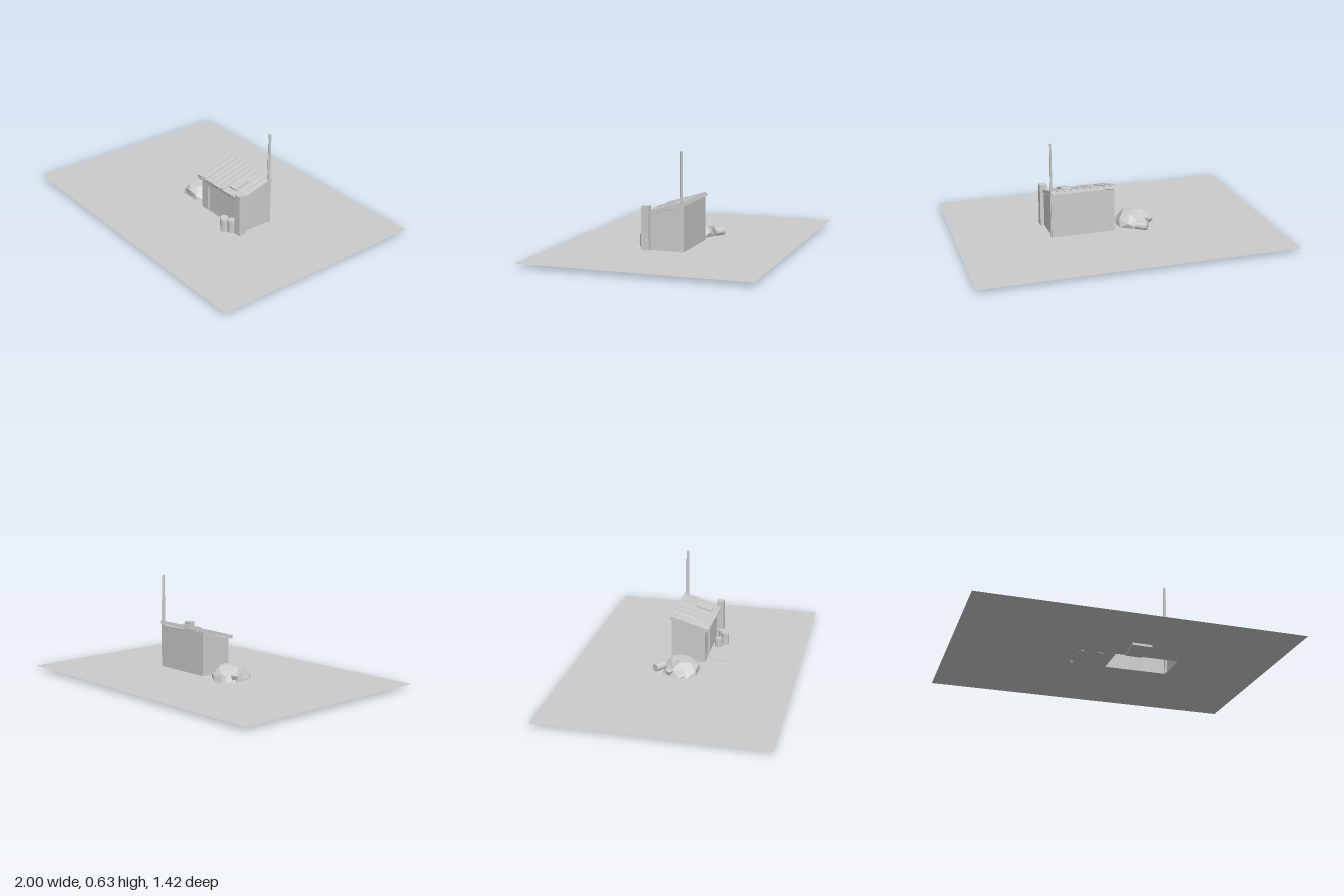
import * as THREE from 'three';

const grey = new THREE.MeshStandardMaterial({ color: 0xcccccc, flatShading: true, side: THREE.DoubleSide });

function rng(seed) {
  return () => (seed = (seed * 16807) % 2147483647) / 2147483647;
}

function add(parent, name, geometry, x = 0, y = 0, z = 0) {
  const mesh = new THREE.Mesh(geometry, grey);
  mesh.name = name;
  mesh.position.set(x, y, z);
  parent.add(mesh);
  return mesh;
}

function outline(points) {
  return new THREE.Shape(points.map(([x, y]) => new THREE.Vector2(x, y)));
}

// Flat polygon in the XY plane of a wall
const panel = (points) => new THREE.ShapeGeometry(outline(points));

const X0 = 0.005, X1 = 0.41, Z0 = -0.112, Z1 = 0.108, BASE = 0.035;

function makeGround() {
  const shape = outline([[-1, -0.71], [1, -0.71], [1, 0.71], [-1, 0.71]]);
  shape.holes.push(outline([[X0, -Z1], [X0, -Z0], [X1, -Z0], [X1, -Z1]]));
  const geo = new THREE.ShapeGeometry(shape).rotateX(-Math.PI / 2);
  // Slight rise towards the hut
  const p = geo.attributes.position;
  for (let i = 0; i < p.count; i++) p.setY(i, Math.abs(p.getX(i)) > 0.9 ? 0.03 : BASE);
  geo.computeVertexNormals();
  return geo;
}

function makeWalls(hut) {
  const front = 0.25, back = 0.312;
  const door = [[0.06, BASE], [0.064, 0.2], [0.165, 0.2], [0.168, BASE]];
  // Front wall wraps around the doorway
  add(hut, 'frontWall', panel([[X0, BASE], ...door, [X1, BASE], [X1, front], [X0, front]]), 0, 0, Z1);
  // Recessed door and its frame
  const depth = 0.015;
  add(hut, 'door', panel(door), 0, 0, Z1 - depth);
  for (let i = 0; i < 3; i++) {
    const [a, b] = [door[i], door[i + 1]];
    const len = Math.hypot(b[0] - a[0], b[1] - a[1]);
    const jamb = add(hut, 'doorJamb', new THREE.PlaneGeometry(len, depth).rotateX(-Math.PI / 2),
      (a[0] + b[0]) / 2, (a[1] + b[1]) / 2, Z1 - depth / 2);
    jamb.rotation.z = Math.atan2(b[1] - a[1], b[0] - a[0]);
  }
  add(hut, 'backWall', panel([[X1, BASE], [X0, BASE], [X0, back], [X1, back]]).rotateY(Math.PI)
    .translate(X0 + X1, 0, 0), 0, 0, Z0);
  // Sloping side walls
  for (const x of [X0, X1]) {
    const side = panel([[-Z1, BASE], [-Z0, BASE], [-Z0, back], [-Z1, front]]);
    side.rotateY(Math.PI / 2);
    if (x === X0) side.setIndex(Array.from(side.index.array).reverse());
    side.computeVertexNormals();
    add(hut, 'sideWall', side, x, 0, 0);
  }
}

function makeRoof(hut) {
  const roof = new THREE.Group();
  roof.name = 'roof';
  roof.position.set(0.203, 0.289, 0.005);
  roof.rotation.x = 0.285;
  hut.add(roof);
  add(roof, 'roofSheet', new THREE.BoxGeometry(0.42, 0.012, 0.265));
  // Uneven planks with narrow gaps
  const rand = rng(37);
  const count = 10, step = 0.43 / count;
  for (let i = 0; i < count; i++) {
    const len = 0.255 + rand() * 0.015;
    const plank = add(roof, 'roofPlank', new THREE.BoxGeometry(step - 0.004, 0.01, len),
      -0.215 + step * (i + 0.5), 0.01 + rand() * 0.003, (rand() - 0.5) * 0.006);
    plank.rotation.y = (rand() - 0.5) * 0.025;
    plank.rotation.z = (rand() - 0.5) * 0.08;
  }
  // Loose board nailed on as a patch
  const patch = add(roof, 'roofPatch', new THREE.BoxGeometry(0.062, 0.01, 0.105), 0.087, 0.021, 0.035);
  patch.rotation.y = 0.03;
}

// Ribbed drum standing on its base
function makeDrum(r, h) {
  const geo = new THREE.CylinderGeometry(r, r, h, 12);
  return geo.translate(0, h / 2, 0);
}

function makeRocks() {
  const geo = new THREE.IcosahedronGeometry(1, 1);
  const p = geo.attributes.position;
  const seen = new Map(), rand = rng(91);
  for (let i = 0; i < p.count; i++) {
    const v = new THREE.Vector3().fromBufferAttribute(p, i);
    const key = v.toArray().map((n) => Math.round(n * 100)).join();
    if (!seen.has(key)) seen.set(key, 0.86 + rand() * 0.26);
    const k = seen.get(key);
    // Flatten the underside and roughen the rest
    p.setXYZ(i, v.x * 0.115 * k, Math.max(v.y, -0.05) * 0.09 * k, v.z * 0.12 * k);
  }
  geo.computeVertexNormals();
  return geo;
}

export function createModel() {
  const model = new THREE.Group();
  model.name = 'desertHut';
  add(model, 'ground', makeGround());

  const hut = new THREE.Group();
  hut.name = 'hut';
  model.add(hut);
  makeWalls(hut);
  makeRoof(hut);

  // Thick front corner pillar, slightly tapered
  const pillar = new THREE.CylinderGeometry(0.0325, 0.0355, 0.27, 4).rotateY(Math.PI / 4);
  add(hut, 'cornerPillar', pillar, 0.41, 0.17, 0.13);
  // Tall mast at the back corner
  const mast = new THREE.CylinderGeometry(0.009, 0.012, 0.605, 6);
  add(hut, 'mast', mast, 0.408, 0.3375, -0.095);

  // Slab lying before the door
  const slab = new THREE.BoxGeometry(0.125, 0.016, 0.18);
  const p = slab.attributes.position;
  for (let i = 0; i < p.count; i++) {
    if (p.getZ(i) < 0 && p.getX(i) < 0) p.setX(i, p.getX(i) + 0.018);
  }
  const path = add(model, 'doorSlab', slab, 0.107, 0.0285, 0.215);
  path.rotation.x = 0.02;
  path.rotation.y = 0.02;

  // Drums beside the door
  const drums = [[0.32, 0.18, 0.025, 0.08], [0.358, 0.153, 0.025, 0.08], [0.272, 0.145, 0.025, 0.058]];
  for (const [x, z, r, h] of drums) add(model, 'drum', makeDrum(r, h), x, BASE, z);

  // Rock heap with a sharp piece wedged into the ground
  add(model, 'rockHeap', makeRocks(), -0.145, 0.036, -0.01);
  const shard = add(model, 'rockShard', new THREE.ConeGeometry(0.032, 0.07, 4).rotateX(Math.PI), -0.232, 0.042, -0.066);
  shard.rotation.z = 0.15;

  // Drum lying behind the rocks
  const fallen = new THREE.CylinderGeometry(0.025, 0.025, 0.075, 12).rotateZ(Math.PI / 2);
  const lying = add(model, 'fallenDrum', fallen, -0.165, 0.06, -0.147);
  lying.rotation.y = -0.6;

  return model;
}
